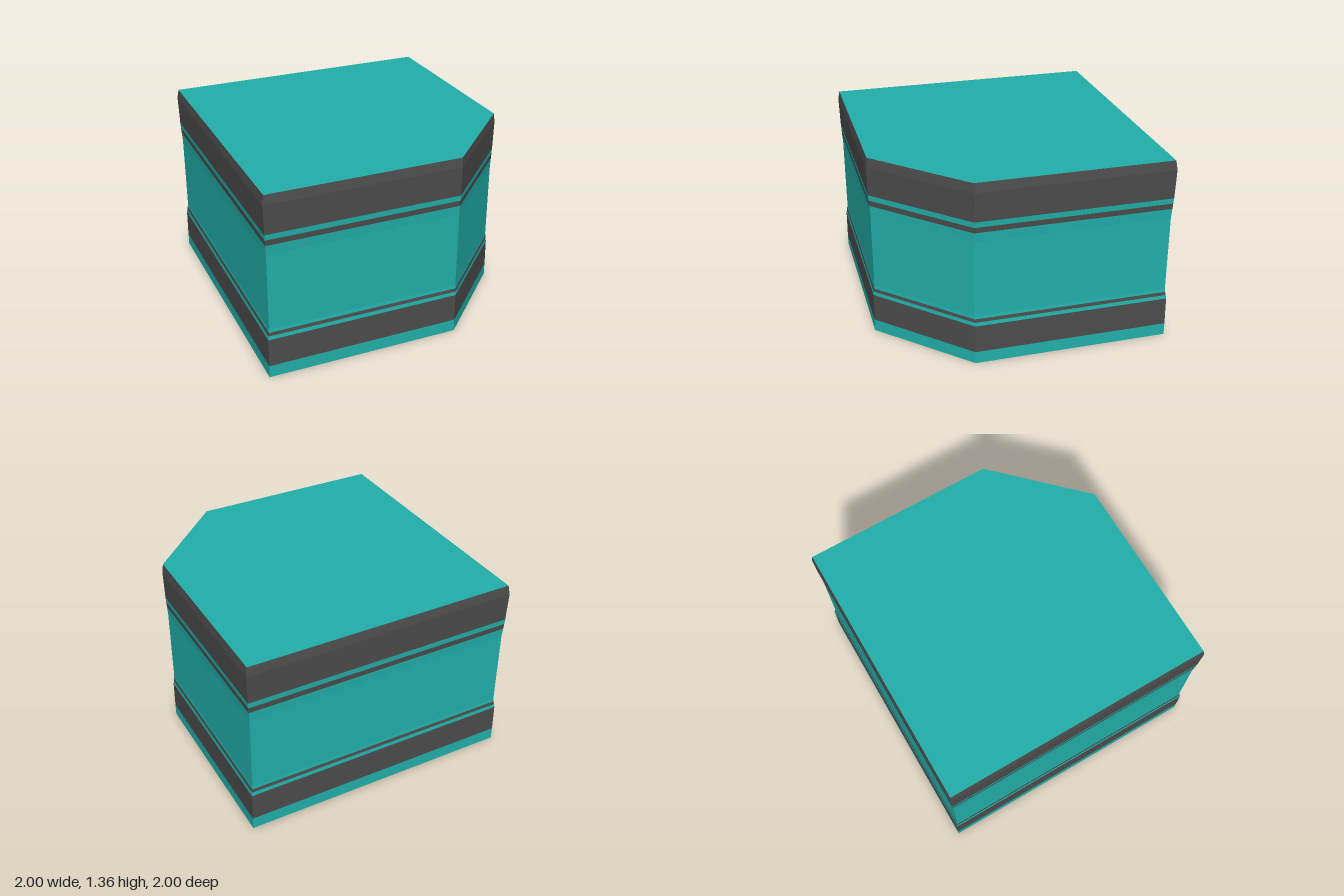
import * as THREE from 'three';

export function createModel() {
  const group = new THREE.Group();
  const teal = new THREE.MeshStandardMaterial({ color: 0x22b0aa });
  teal.name = 'teal';
  const grey = new THREE.MeshStandardMaterial({ color: 0x4c4c4c });
  grey.name = 'dark grey';

  // square plan with one cut corner, at half width r
  const outline = (r) => [[-r, -r], [-r, r], [0.4, r], [r, 0.4], [r, -r]];

  const addMesh = (name, positions, material) => {
    const geo = new THREE.BufferGeometry();
    geo.setAttribute('position', new THREE.Float32BufferAttribute(positions, 3));
    geo.computeVertexNormals(); // unshared corners give flat faces
    const mesh = new THREE.Mesh(geo, material);
    mesh.name = name;
    group.add(mesh);
  };

  // stacked wall rings: [height, half width, name and colour of the ring above]
  const rings = [
    [0, 1, 'baseStrip', teal],
    [0.09, 1, 'lowerBand', grey],
    [0.295, 0.998, 'lowerGap', teal],
    [0.322, 0.994, 'lowerStripe', grey],
    [0.347, 0.99, 'lowerWallEdge', teal],
    [0.37, 0.987, 'wall', teal],
    [0.93, 0.987, 'upperWallEdge', teal],
    [1.0, 0.991, 'upperStripe', grey],
    [1.04, 0.993, 'upperGap', teal],
    [1.08, 0.995, 'upperBand', grey],
    [1.17, 0.997, 'cornice', grey],
    [1.29, 1, 'corniceBevel', grey],
    [1.357, 0.99],
  ];
  for (let i = 0; i < rings.length - 1; i++) {
    const [y0, r0, name, material] = rings[i];
    const [y1, r1] = rings[i + 1];
    const lower = outline(r0), upper = outline(r1), pos = [];
    lower.forEach(([ax, az], k) => {
      const n = (k + 1) % lower.length;
      const [bx, bz] = lower[n], [cx, cz] = upper[n], [dx, dz] = upper[k];
      pos.push(ax, y0, az, bx, y0, bz, cx, y1, cz, ax, y0, az, cx, y1, cz, dx, y1, dz);
    });
    addMesh(name, pos, material);
  }

  // flat roof and underside
  const addCap = (name, y, r, up, material) => {
    const p = outline(r), pos = [];
    for (let k = 1; k < p.length - 1; k++) {
      const tri = up ? [p[0], p[k], p[k + 1]] : [p[0], p[k + 1], p[k]];
      tri.forEach(([x, z]) => pos.push(x, y, z));
    }
    addMesh(name, pos, material);
  };
  addCap('roof', 1.357, 0.99, true, teal);
  addCap('underside', 0, 1, false, grey);

  return group;
}
